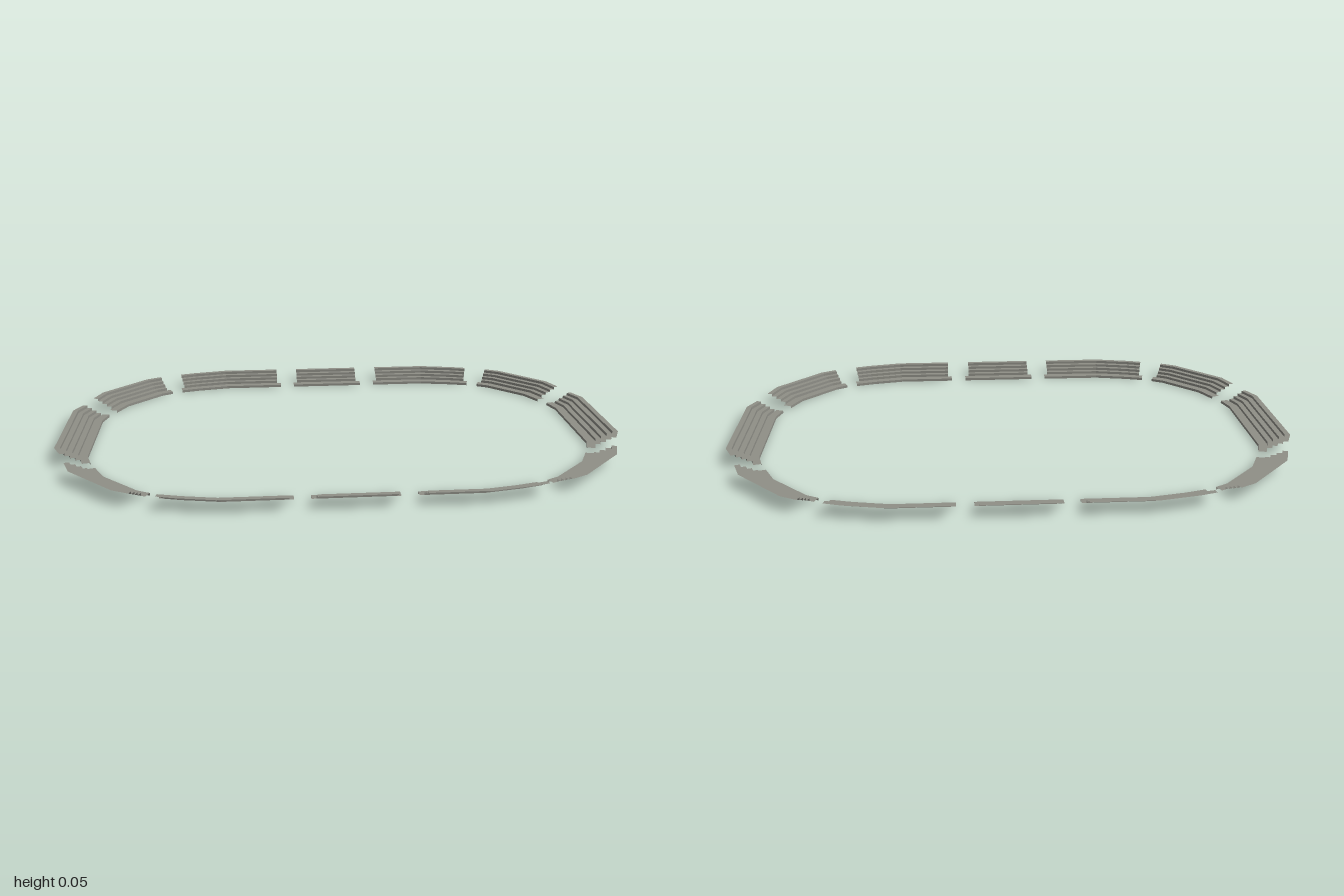
import * as THREE from 'three';

const concrete = new THREE.MeshStandardMaterial({ color: 0x8f8f87, side: THREE.DoubleSide });
concrete.name = 'concrete';

const ROWS = 5, RISE = 0.0096, FRONT_ROW = 0.29, EXTRA = 0.015;

// Lengthen a plan polyline at both ends.
function extend(line, amount) {
  const push = (p, q) => p.clone().add(p.clone().sub(q).setLength(amount));
  const n = line.length;
  return [push(line[0], line[1]), ...line.slice(1, -1), push(line[n - 1], line[n - 2])];
}

// Open stepped terrace between an inner and an outer plan line ([x, z] points).
function terrace(inner, outer) {
  const pos = [];
  const quad = (a, b, c, d) => pos.push(...a, ...b, ...c, ...a, ...c, ...d);
  const lineAt = (t) => inner.map((p, i) =>
    new THREE.Vector2(...p).lerp(new THREE.Vector2(...outer[i]), t));
  const at = (p, y) => [p.x, y, p.y];
  const depth = (r) => (r === 0 ? 0 : FRONT_ROW + (1 - FRONT_ROW) * (r - 1) / (ROWS - 1));

  for (let r = 0; r < ROWS; r++) {
    let near = lineAt(depth(r)), far = lineAt(depth(r + 1));
    if (r === 0) { // the lowest row is a little longer
      near = extend(near, EXTRA);
      far = extend(far, EXTRA);
    }
    const lo = r * RISE, hi = lo + RISE;
    for (let i = 0; i < near.length - 1; i++) {
      quad(at(near[i], lo), at(near[i], hi), at(near[i + 1], hi), at(near[i + 1], lo)); // riser
      quad(at(near[i], hi), at(far[i], hi), at(far[i + 1], hi), at(near[i + 1], hi));   // tread
    }
  }
  const geo = new THREE.BufferGeometry();
  geo.setAttribute('position', new THREE.Float32BufferAttribute(pos, 3));
  geo.computeVertexNormals();
  return geo;
}

export function createModel() {
  const model = new THREE.Group();
  model.name = 'grandstands';

  // Mirrored plan lines keep their running direction, so faces stay outward.
  const addStand = (name, inner, outer, sx, sz) => {
    const flip = (line) => {
      const out = line.map(([x, z]) => [x * sx, z * sz]);
      return sx * sz < 0 ? out.reverse() : out;
    };
    const mesh = new THREE.Mesh(terrace(flip(inner), flip(outer)), concrete);
    mesh.name = name;
    model.add(mesh);
  };

  for (const sz of [1, -1]) {
    const end = sz > 0 ? 'front' : 'back';
    // short middle stand
    addStand(end + 'MiddleStand', [[-0.121, 0.602], [0.134, 0.602]],
      [[-0.121, 0.707], [0.134, 0.707]], 1, sz);

    for (const sx of [1, -1]) {
      const side = sx > 0 ? 'Left' : 'Right';
      const start = sx > 0 ? 0.222 : 0.206;
      // long stand bending towards the corner
      addStand(end + side + 'Stand',
        [[start, 0.602], [0.415, 0.602], [0.535, 0.578], [0.592, 0.562]],
        [[start, 0.707], [0.43, 0.707], [0.56, 0.68], [0.618, 0.662]], sx, sz);
      // corner stand
      addStand(end + side + 'CornerStand',
        [[0.659, 0.534], [0.688, 0.518], [0.812, 0.388], [0.843, 0.322]],
        [[0.702, 0.632], [0.757, 0.602], [0.917, 0.43], [0.944, 0.352]], sx, sz);
    }
  }

  // side stands
  for (const sx of [1, -1]) {
    addStand(sx > 0 ? 'leftSideStand' : 'rightSideStand',
      [[0.876, 0.245], [0.89, 0.195], [0.89, -0.195], [0.876, -0.245]],
      [[0.972, 0.268], [1, 0.205], [1, -0.205], [0.972, -0.268]], sx, 1);
  }
  return model;
}
